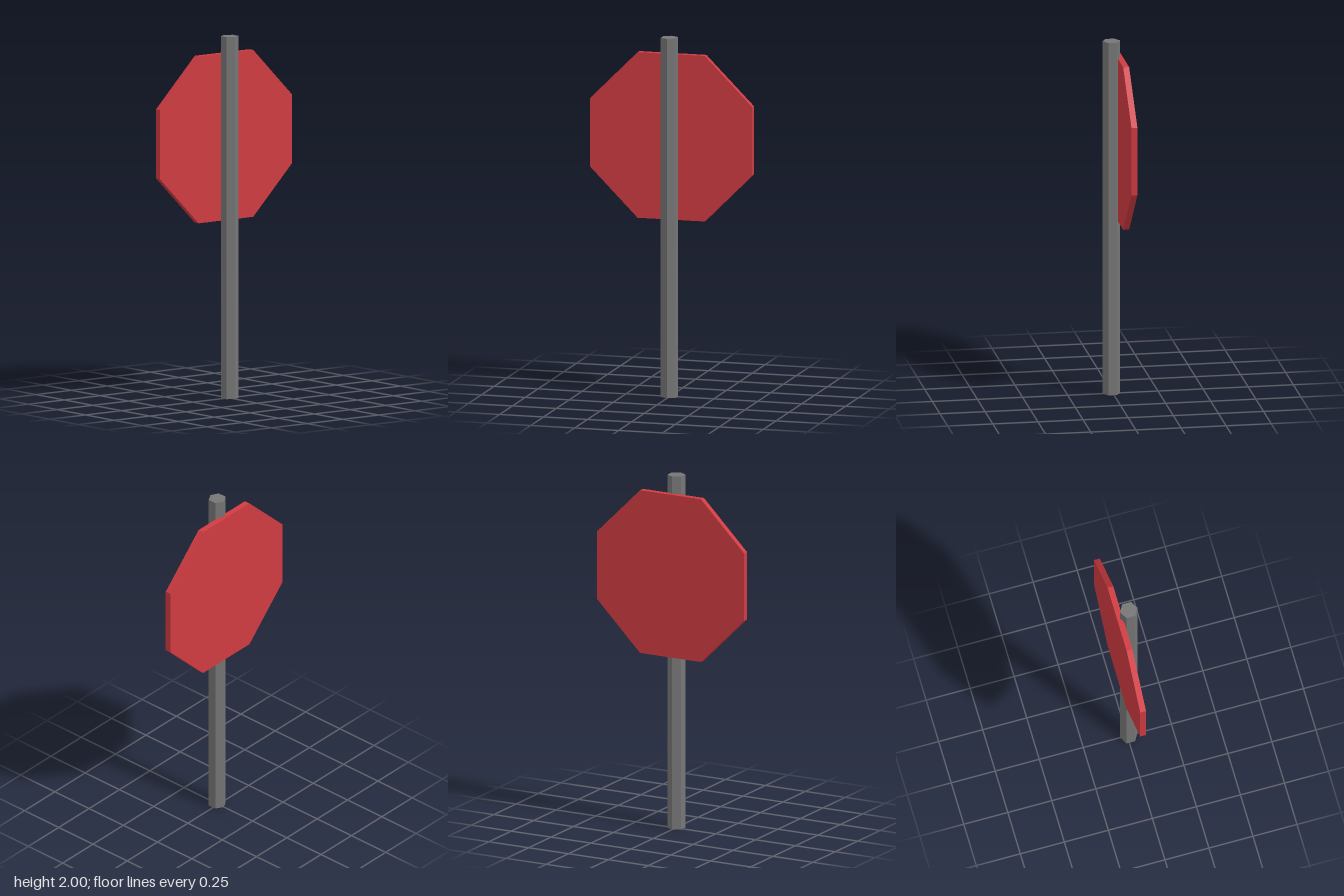
import * as THREE from 'three';

export function createModel() {
  const group = new THREE.Group();
  const red = new THREE.MeshStandardMaterial({ color: 0xcf3b41, flatShading: true });
  red.name = 'signRed';
  const grey = new THREE.MeshStandardMaterial({ color: 0x767676, flatShading: true });
  grey.name = 'poleGrey';

  // Hexagonal pole with an edge facing the front
  const pole = new THREE.Mesh(new THREE.CylinderGeometry(0.049, 0.049, 2, 6), grey);
  pole.name = 'pole';
  pole.position.set(0, 1, 0.008);
  group.add(pole);

  // Octagonal plate behind the pole, turned so its edges lie flat
  const plateGeometry = new THREE.CylinderGeometry(0.499, 0.499, 0.033, 8)
    .rotateY(Math.PI / 8)
    .rotateX(Math.PI / 2);
  const plate = new THREE.Mesh(plateGeometry, red);
  plate.name = 'signPlate';
  plate.position.set(0, 1.44, -0.0415);
  group.add(plate);

  return group;
}
